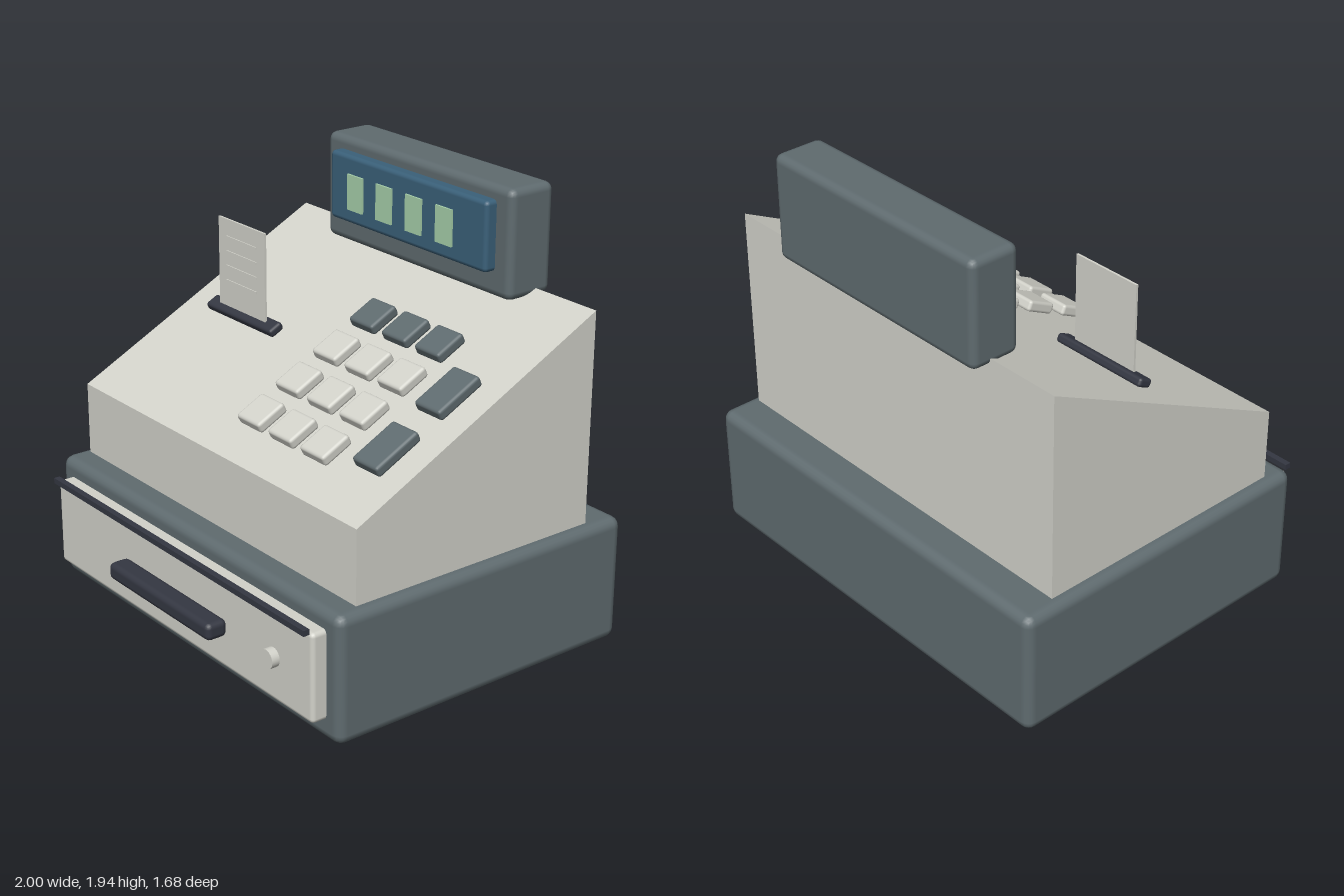
import * as THREE from 'three';
import { RoundedBoxGeometry } from 'three/addons/geometries/RoundedBoxGeometry.js';

export function createModel() {
  const model = new THREE.Group();
  model.name = 'cashRegister';

  const mat = (name, color) => {
    const m = new THREE.MeshStandardMaterial({ color });
    m.name = name;
    return m;
  };
  const cream = mat('cream', 0xd2d2ca);
  const charcoal = mat('charcoal', 0x5f6b6f);
  const ink = mat('darkNavy', 0x343742);
  const glass = mat('screenBlue', 0x3a6079);
  const green = mat('digitGreen', 0xa6cfa9);

  const add = (name, geometry, material, x, y, z, parent = model) => {
    const mesh = new THREE.Mesh(geometry, material);
    mesh.name = name;
    mesh.position.set(x, y, z);
    parent.add(mesh);
    return mesh;
  };
  const box = (w, h, d) => new THREE.BoxGeometry(w, h, d);
  const rounded = (w, h, d, r) => new RoundedBoxGeometry(w, h, d, 2, r);

  // Base with the cash drawer
  add('base', rounded(2, 0.565, 1.51, 0.045), charcoal, 0, 0.2825, -0.085);
  add('drawerFront', rounded(1.84, 0.395, 0.12, 0.02), cream, 0, 0.292, 0.678);
  add('drawerTrim', box(1.81, 0.025, 0.028), ink, 0, 0.498, 0.755);
  add('drawerHandle', rounded(0.735, 0.078, 0.1, 0.025), ink, 0, 0.29, 0.79);
  const lock = new THREE.CylinderGeometry(0.042, 0.042, 0.045, 24).rotateX(Math.PI / 2);
  add('drawerLock', lock, cream, 0.67, 0.29, 0.752);

  // Wedge housing, drawn as a side profile (z, y) and extruded across x
  const profile = new THREE.Shape([
    [-0.67, 0.55], [0.55, 0.55], [0.55, 0.89], [-0.67, 1.5],
  ].map(([z, y]) => new THREE.Vector2(z, y)));
  const wedge = new THREE.ExtrudeGeometry(profile, { depth: 1.9, bevelEnabled: false });
  wedge.translate(0, 0, -0.95).rotateY(-Math.PI / 2);
  add('housing', wedge, cream, 0, 0, 0);

  // Parts that lie on the sloping panel
  const tilt = Math.atan(0.5);
  const onSlope = (name, w, h, d, r, material, x, z, lift) => {
    const mesh = add(name, rounded(w, h, d, r), material, x, 1.165 - 0.5 * z + lift, z);
    mesh.rotation.x = tilt;
  };

  // Keypad: the back row is dark
  [-0.24, -0.043, 0.152, 0.347].forEach((z, row) => {
    for (const x of [0.077, 0.289, 0.501]) {
      onSlope(row ? 'numberKey' : 'functionKey', 0.155, 0.05, 0.15, 0.014,
        row ? cream : charcoal, x, z, 0.04);
    }
  });
  for (const z of [-0.06, 0.252]) {
    onSlope('largeKey', 0.155, 0.05, 0.235, 0.014, charcoal, 0.763, z, 0.04);
  }

  // Receipt printer
  onSlope('receiptSlot', 0.48, 0.04, 0.072, 0.014, ink, -0.55, -0.022, 0.022);
  const receipt = new THREE.Group();
  receipt.name = 'receipt';
  model.add(receipt);
  add('receiptPaper', box(0.335, 0.42, 0.01), cream, -0.552, 1.405, -0.017, receipt);
  for (let i = 0; i < 4; i++) {
    add('receiptLine', box(0.22, 0.01, 0.005), cream, -0.552, 1.535 - i * 0.067, -0.01, receipt);
  }

  // Display on the back ridge
  add('displayCase', rounded(1.2, 0.475, 0.235, 0.035), charcoal, 0, 1.7025, -0.638);
  add('displayScreen', rounded(1.02, 0.305, 0.09, 0.02), glass, 0, 1.73, -0.512);
  for (let i = 0; i < 4; i++) {
    add('displayDigit', box(0.103, 0.16, 0.009), green, -0.33 + i * 0.195, 1.722, -0.4625);
  }

  return model;
}
